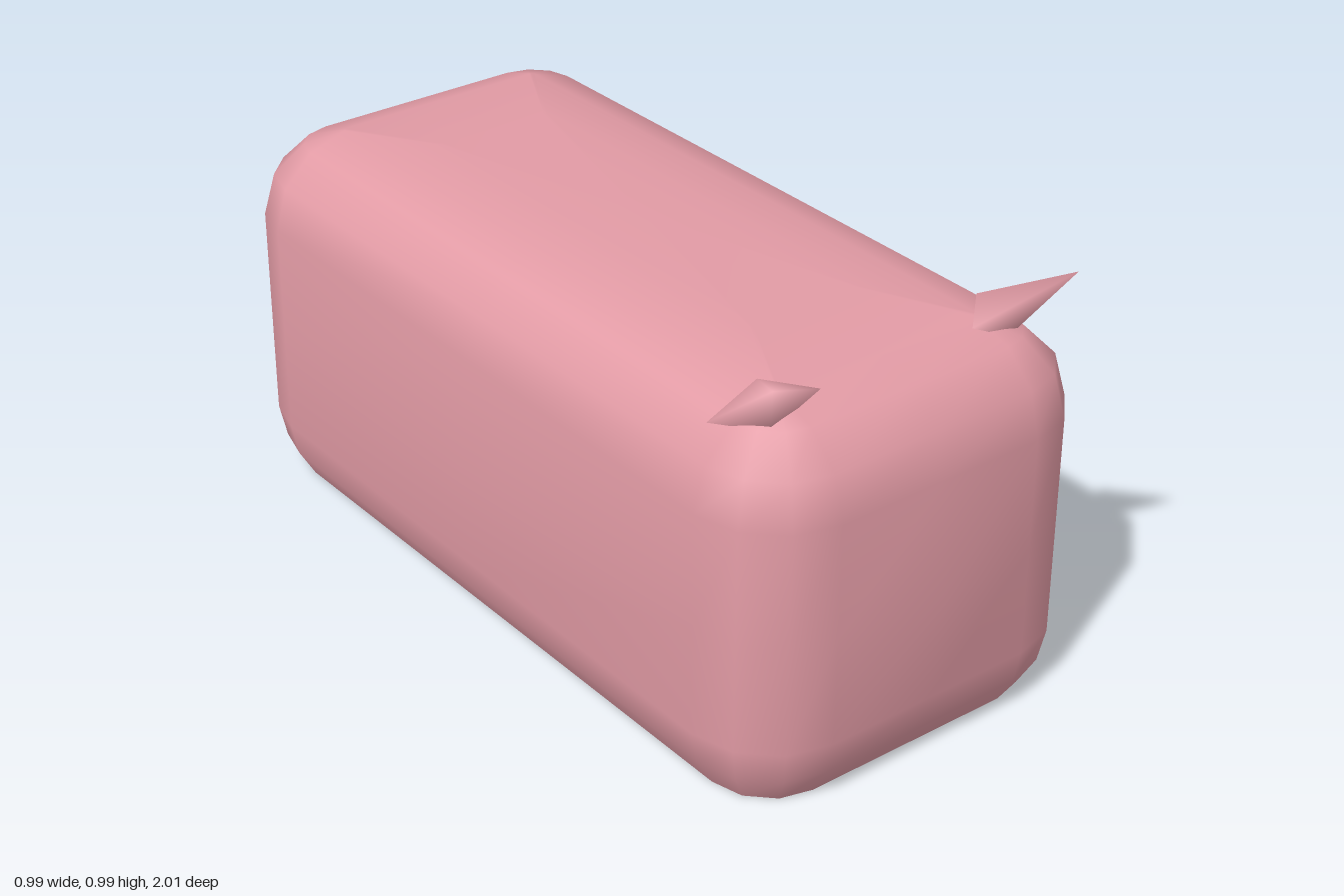
import * as THREE from 'three';

const pink = new THREE.MeshStandardMaterial({ color: 0xe29ba5, side: THREE.DoubleSide });
pink.name = 'pink';

function buildGeometry(points, index) {
  const g = new THREE.BufferGeometry();
  g.setAttribute('position', new THREE.Float32BufferAttribute(points, 3));
  g.setIndex(index);
  g.computeVertexNormals();
  return g;
}

// Rounded rectangle loop: a core rectangle grown by r, with a raised point mid-side
function loop(y, r, coreX, coreZ, bulge) {
  const pts = [];
  for (let q = 0; q < 4; q++) {
    const a0 = (q * Math.PI) / 2;
    const ux = Math.round(Math.cos(a0)), uz = Math.round(Math.sin(a0));
    const sx = ux - uz, sz = ux + uz; // corner signs of this quadrant
    pts.push(ux * (coreX + r + bulge), y, uz * (coreZ + r + bulge));
    for (let k = 0; k <= 3; k++) {
      const a = a0 + (k * Math.PI) / 6;
      pts.push(sx * coreX + r * Math.cos(a), y, sz * coreZ + r * Math.sin(a));
    }
  }
  return pts;
}

// Open-bottomed body shell, lofted upwards through the loops
function createBody() {
  const cx = 0.26, cz = 0.77;
  const rings = [
    [0, 0.147, cx, cz, 0],
    [0.07, 0.188, cx, cz, 0],
    [0.15, 0.205, cx, cz, 0],
    [0.405, 0.205, cx, cz, 0.028],
    [0.67, 0.205, cx, cz, 0],
    [0.77, 0.178, cx, cz, 0],
    [0.842, 0.105, cx, cz, 0],
    [0.872, 0.01, cx, cz, 0],
    [0.881, 0.005, 0.14, 0.55, 0],
  ];
  const points = rings.flatMap((r) => loop(...r));
  const n = 20, index = [];
  for (let i = 0; i < rings.length - 1; i++) {
    for (let j = 0; j < n; j++) {
      const a = i * n + j, b = i * n + ((j + 1) % n);
      index.push(a, a + n, b, b, a + n, b + n);
    }
  }
  // Closed top
  const last = (rings.length - 1) * n, centre = rings.length * n;
  points.push(0, 0.882, 0);
  for (let j = 0; j < n; j++) index.push(last + j, centre, last + ((j + 1) % n));
  return new THREE.Mesh(buildGeometry(points, index), pink);
}

// Four-sided ear leaning forwards and outwards; side is +1 (left) or -1 (right)
function createEar(side) {
  const apex = [0.398, 0.988, 0.92];
  const base = [
    [0.2, 0.885, 0.83],
    [0.29, 0.9, 0.745],
    [0.408, 0.84, 0.737],
    [0.315, 0.825, 0.82],
  ];
  // The base corners are repeated so the cap has a sharp rim
  const points = [apex, ...base, ...base].flatMap(([x, y, z]) => [x * side, y, z]);
  const index = [];
  const tri = (a, b, c) => index.push(...(side > 0 ? [a, b, c] : [a, c, b]));
  for (let i = 0; i < 4; i++) tri(0, 1 + ((i + 1) % 4), 1 + i);
  tri(5, 6, 7);
  tri(5, 7, 8);
  return new THREE.Mesh(buildGeometry(points, index), pink);
}

export function createModel() {
  const model = new THREE.Group();
  model.name = 'earedBlock';
  const body = createBody();
  body.name = 'body';
  model.add(body);
  for (const side of [1, -1]) {
    const ear = createEar(side);
    ear.name = side > 0 ? 'leftEar' : 'rightEar';
    model.add(ear);
  }
  return model;
}
